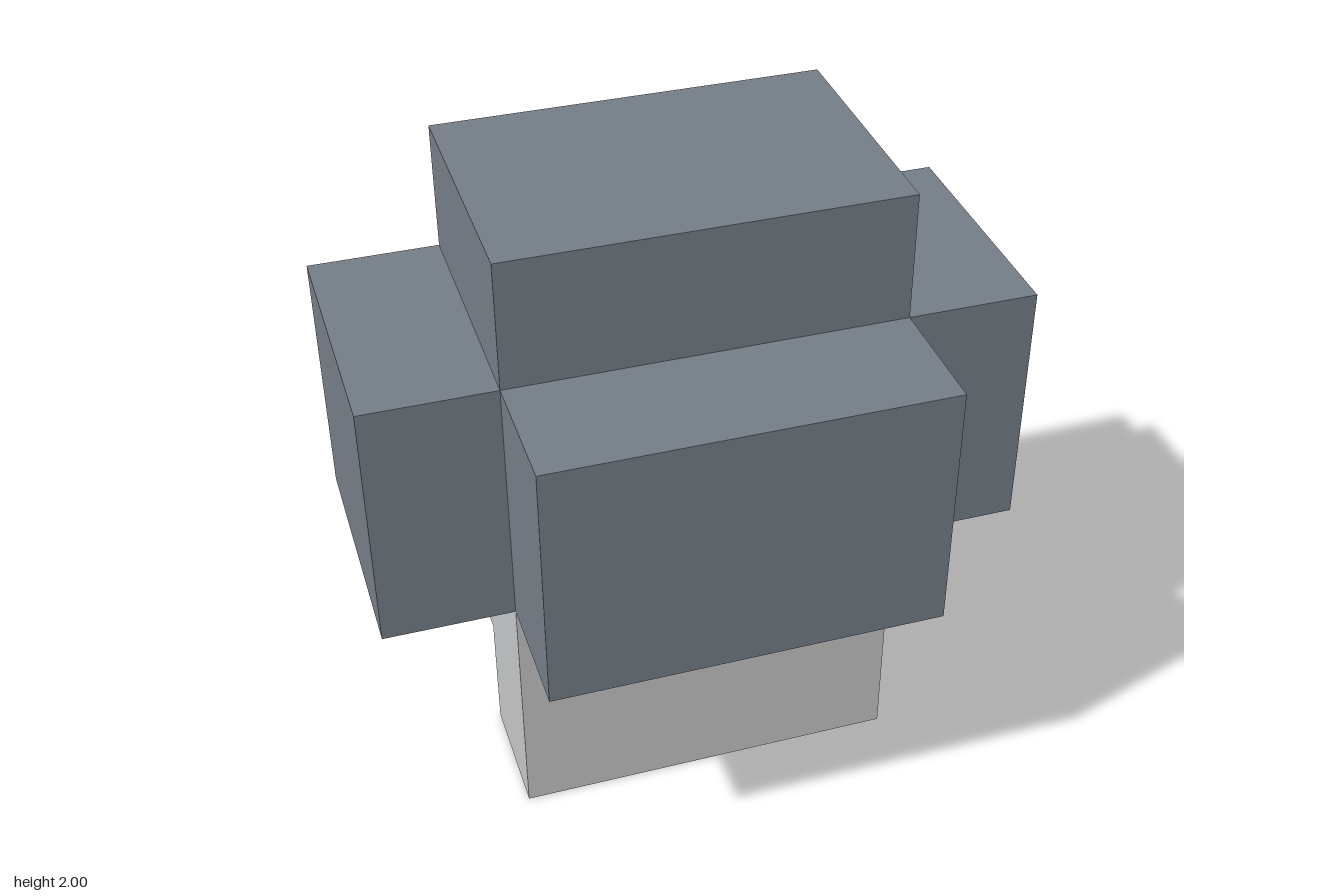
import * as THREE from 'three';

export function createModel() {
  const model = new THREE.Group();
  model.name = 'model';
  const slate = new THREE.MeshStandardMaterial({ name: 'slate grey', color: 0x747d86 });
  const pale = new THREE.MeshStandardMaterial({ name: 'pale grey', color: 0xc4c5c6 });

  // Box given by its lower and upper corners
  function block(name, material, min, max) {
    const size = max.map((v, i) => v - min[i]);
    const mesh = new THREE.Mesh(new THREE.BoxGeometry(...size), material);
    mesh.position.set(...max.map((v, i) => (v + min[i]) / 2));
    mesh.name = name;
    model.add(mesh);
  }

  // Pale core and the foot beneath it
  block('core', pale, [-0.6, 0.4, -0.6], [0.6, 1.6, 0.2]);
  block('foot', pale, [-0.6, 0, -0.2], [0.6, 0.4, 0.2]);

  // Slate blocks on the top, front and both sides
  block('topBlock', slate, [-0.6, 1.6, -0.6], [0.6, 2, 0.2]);
  block('frontBlock', slate, [-0.6, 0.8, 0.2], [0.6, 1.6, 0.6]);
  block('leftBlock', slate, [0.6, 0.8, -0.6], [1, 1.6, 0.2]);
  block('rightBlock', slate, [-1, 0.8, -0.6], [-0.6, 1.6, 0.2]);

  return model;
}
